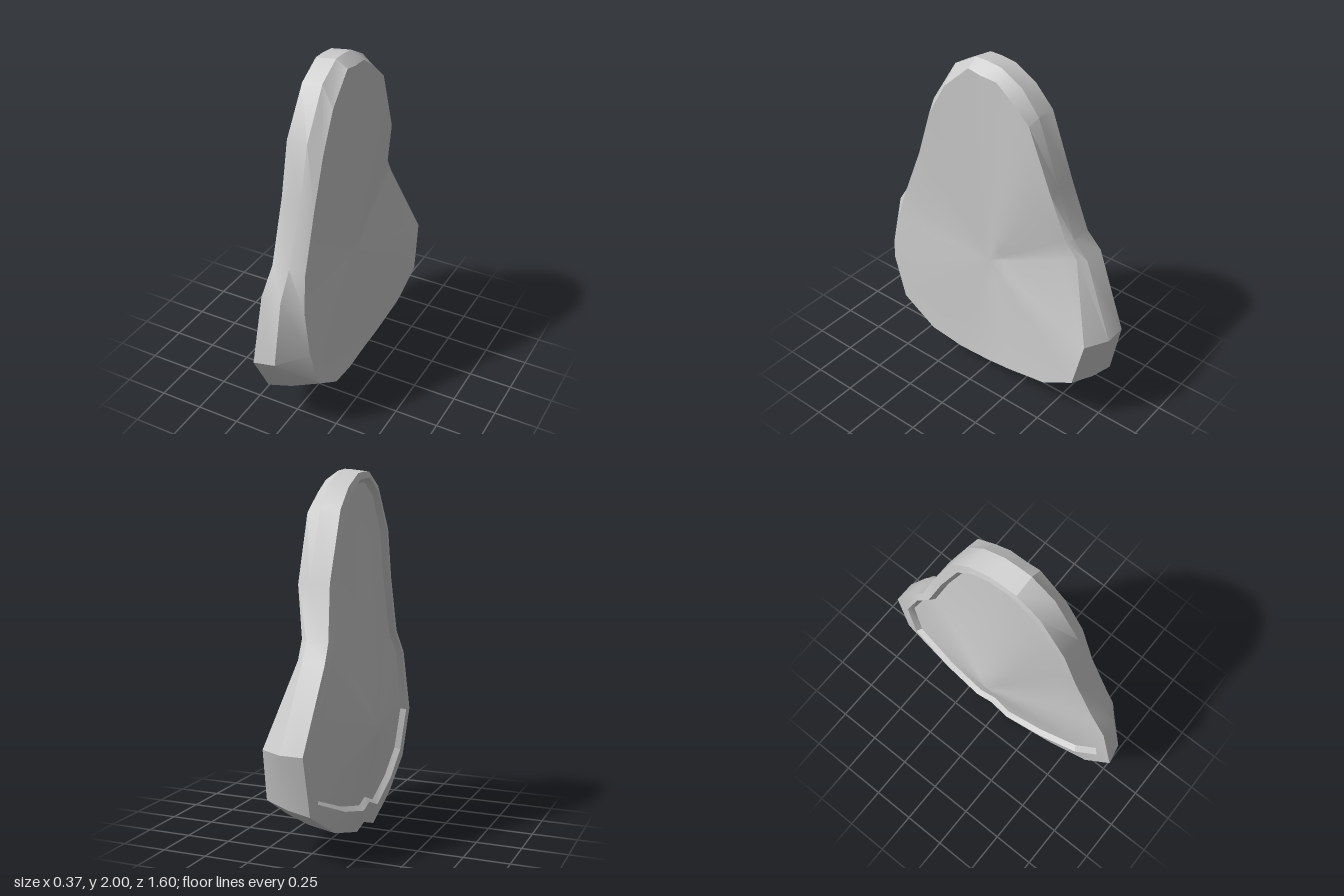
import * as THREE from 'three';
import { toCreasedNormals } from 'three/addons/utils/BufferGeometryUtils.js';

// Outline stations, from the top over the front edge: [outer z, outer y, rim x, face z, face y, face x]
const STATIONS = [
  [0.03, 2.00, -0.08, 0.02, 1.945, 0.10],
  [0.10, 2.00, -0.08, 0.10, 1.96, 0.10],
  [0.24, 1.92, -0.08, 0.26, 1.81, 0.105],
  [0.40, 1.66, -0.08, 0.37, 1.61, 0.11],
  [0.48, 1.38, -0.07, 0.46, 1.33, 0.105],
  [0.61, 1.04, -0.06, 0.58, 1.01, 0.115],
  [0.71, 0.90, -0.07, 0.63, 0.82, 0.135],
  [0.80, 0.53, -0.08, 0.64, 0.56, 0.17],
  [0.65, 0.26, -0.09, 0.56, 0.31, 0.18],
  [0.39, 0.10, -0.10, 0.35, 0.16, 0.17],
  [0.09, 0.00, -0.115, 0.15, 0.11, 0.15],
  [-0.04, 0.045, -0.11, -0.05, 0.10, 0.135],
  [-0.17, 0.03, -0.12, -0.22, 0.13, 0.145],
  [-0.45, 0.11, -0.11, -0.47, 0.19, 0.16],
  [-0.74, 0.28, -0.10, -0.67, 0.32, 0.175],
  [-0.80, 0.60, -0.09, -0.73, 0.60, 0.165],
  [-0.61, 1.03, -0.125, -0.57, 1.04, 0.04],
  [-0.53, 1.13, -0.11, -0.50, 1.14, 0.05],
  [-0.44, 1.42, -0.08, -0.435, 1.41, 0.10],
  [-0.30, 1.79, -0.08, -0.295, 1.77, 0.11],
  [-0.19, 1.92, -0.08, -0.18, 1.87, 0.105],
  [-0.06, 1.99, -0.08, -0.08, 1.94, 0.10],
];

const loop = (fn) => STATIONS.map(fn);

// Moves an outline point towards the slab's upright middle line
function inset(z, y, d, x) {
  const p = new THREE.Vector3(x, y, z);
  const middle = new THREE.Vector3(x, THREE.MathUtils.clamp(y, 0.6, 1.6), z * 0.3);
  return p.add(middle.sub(p).setLength(d));
}

// Rings that close a loop towards a centre point, swelling in or out on the way
function capRings(edge, centre, power, steps = 6) {
  const rings = [];
  for (let s = 1; s <= steps; s++) {
    const t = s / steps;
    rings.push(edge.map((p) => {
      const q = p.clone().lerp(centre, t);
      q.x = THREE.MathUtils.lerp(p.x, centre.x, Math.pow(t, power));
      return q;
    }));
  }
  return rings;
}

// Skins successive rings, which run from -x to +x
function skin(rings) {
  const pos = [];
  const tri = (a, b, c) => {
    if (a.distanceTo(b) < 1e-5 || b.distanceTo(c) < 1e-5 || c.distanceTo(a) < 1e-5) return;
    for (const p of [a, b, c]) pos.push(p.x, p.y, p.z);
  };
  for (let i = 0; i < rings.length - 1; i++) {
    const lo = rings[i], hi = rings[i + 1];
    for (let j = 0; j < lo.length; j++) {
      const k = (j + 1) % lo.length;
      tri(lo[j], lo[k], hi[k]);
      tri(lo[j], hi[k], hi[j]);
    }
  }
  const g = new THREE.BufferGeometry();
  g.setAttribute('position', new THREE.Float32BufferAttribute(pos, 3));
  return toCreasedNormals(g, 0.5);
}

export function createModel() {
  const group = new THREE.Group();
  group.name = 'slab';
  const material = new THREE.MeshStandardMaterial({ color: 0xcccccc });

  // Edge loops across the thickness
  const outer = loop(([z, y, x]) => new THREE.Vector3(x, y > 1.9 ? y - 0.015 : y, z));
  const ridge = loop(([z, y, , fz, fy, fx]) => {
    const t = y < 0.4 ? 0.35 : z > 0.4 ? 0.15 : 0;
    return new THREE.Vector3(Math.min(0.035, fx - 0.04), y + (fy - y) * t, z + (fz - z) * t);
  });
  const face = loop(([, , , z, y, x]) => new THREE.Vector3(x, y, z));

  // Lip and sunken floor of the -x side; the lip is wider towards the bottom
  const lipWidth = (y) => (y < 0.2 ? 0.12 : y < 0.7 ? 0.09 : 0.05);
  const lipX = (x, y) => x - (y < 0.2 ? 0.03 : 0.01);
  const lip = loop(([z, y, x]) => inset(z, y, lipWidth(y), lipX(x, y)));
  const floor = loop(([z, y, x]) => inset(z, y, lipWidth(y) + 0.025, lipX(x, y) + 0.03));

  const parts = {
    domedFloor: [...capRings(floor, new THREE.Vector3(-0.19, 0.6, -0.02), 1.15).reverse(), floor],
    rim: [floor, lip, outer],
    edge: [outer, ridge, face],
    dishedFace: [face, ...capRings(face, new THREE.Vector3(0.085, 0.8, -0.02), 0.9)],
  };
  for (const [name, rings] of Object.entries(parts)) {
    const mesh = new THREE.Mesh(skin(rings), material);
    mesh.name = name;
    group.add(mesh);
  }
  return group;
}
